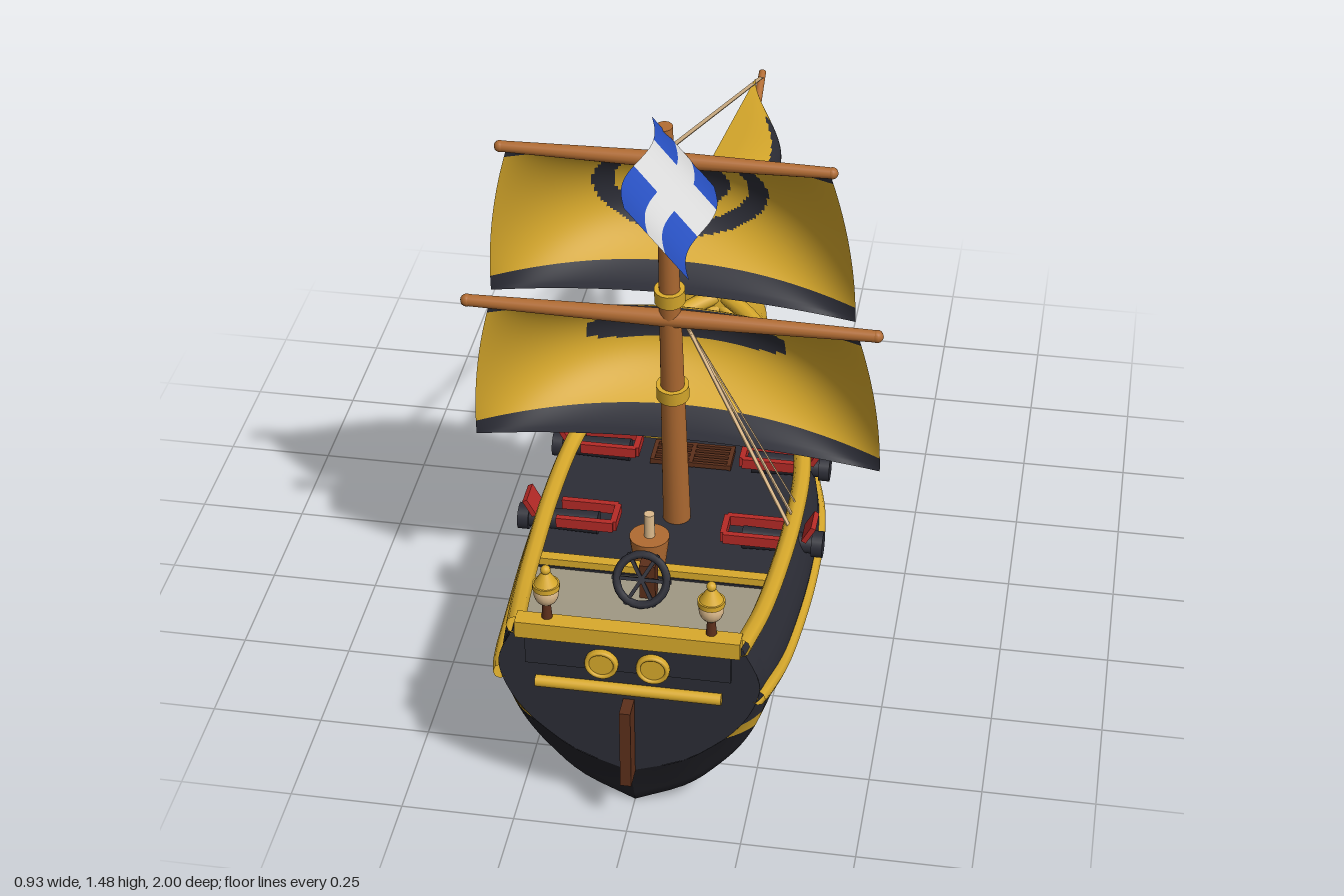
import * as THREE from 'three';

const material = (name, color) =>
  Object.assign(new THREE.MeshStandardMaterial({ color, side: THREE.DoubleSide }), { name });
const gold = material('gold', 0xd9aa2c), dark = material('charcoal', 0x2c2d36);
const black = material('blackHull', 0x222228), wood = material('wood', 0xb06b32);
const brown = material('darkWood', 0x5c2f1b), red = material('red', 0xb52a26);
const cream = material('cream', 0xdcba8c), grey = material('greyDeck', 0xa09884);
const blue = material('blue', 0x2850c0), white = material('white', 0xdcdcdc);

const V = (x, y, z) => new THREE.Vector3(x, y, z);
const lerp = THREE.MathUtils.lerp;
const spline = (xs, ys) => {
  const c = new THREE.CubicInterpolant(xs, ys, 1);
  return (x) => c.evaluate(THREE.MathUtils.clamp(x, xs[0], xs[xs.length - 1]))[0];
};

// Hull lines: s runs from the stern (0) to the stem (1)
const beam = spline([0, 0.12, 0.28, 0.44, 0.6, 0.68, 0.755, 0.834, 0.913, 0.96, 1],
  [0.28, 0.3, 0.315, 0.322, 0.315, 0.297, 0.265, 0.215, 0.145, 0.085, 0.01]);
const sheer = spline([0, 0.15, 0.4, 0.65, 0.8, 0.92, 1], [0.5, 0.465, 0.44, 0.44, 0.475, 0.525, 0.55]);
const wale = spline([0, 0.2, 0.6, 0.75, 0.88, 1], [0.37, 0.315, 0.305, 0.33, 0.405, 0.52]);
const stripe = spline([0, 0.2, 0.45, 0.67, 0.83, 0.95, 1], [0.25, 0.218, 0.212, 0.218, 0.265, 0.35, 0.39]);
const fullness = spline([0, 0.1, 0.25, 0.4, 0.6, 0.75, 1], [0, 0.36, 0.64, 0.83, 0.97, 1, 0.86]);
const keel = (s) => Math.max(0, 0.13 * (1 - s / 0.055));
const stemZ = (y) => -0.07 - 0.24 * Math.pow(Math.max(y, 0) / 0.55, 0.65);
const station = (u) => (u < 0.1 ? 0.55 * u : 0.055 + ((u - 0.1) / 0.9) * 0.945);
const sAt = (z, y) => (0.95 - z) / (0.95 - stemZ(y));
const hullPoint = (s, y) => {
  const t = (y - keel(s)) / (sheer(s) - keel(s));
  return V(beam(s) * fullness(t), y, lerp(0.95, stemZ(y), s));
};
const mastZ = (y) => 0.345 + (y - 0.45) * 0.118;

// Grid surface whose cells are sorted into groups by colour
function sheet(point, nu, nv, mats, pick = () => 0) {
  const pos = [], lists = mats.map(() => []);
  for (let j = 0; j <= nv; j++) for (let i = 0; i <= nu; i++) pos.push(...point(i / nu, j / nv).toArray());
  for (let j = 0; j < nv; j++) for (let i = 0; i < nu; i++) {
    const a = j * (nu + 1) + i, b = a + 1, c = a + nu + 1, d = c + 1;
    const u = (i + 0.5) / nu, v = (j + 0.5) / nv;
    lists[pick(point(u, v), u, v)].push(a, b, d, a, d, c);
  }
  const g = new THREE.BufferGeometry();
  g.setAttribute('position', new THREE.Float32BufferAttribute(pos, 3));
  g.setIndex(lists.flat());
  let start = 0;
  lists.forEach((l, k) => { g.addGroup(start, l.length, k); start += l.length; });
  g.computeVertexNormals();
  return g;
}

export function createModel() {
  const ship = new THREE.Group();
  ship.name = 'sailingShip';
  const add = (name, geo, mat, x = 0, y = 0, z = 0, rx = 0, ry = 0, rz = 0) => {
    const m = new THREE.Mesh(geo, mat);
    m.name = name;
    m.position.set(x, y, z);
    m.rotation.set(rx, ry, rz);
    ship.add(m);
    return m;
  };
  const box = (name, mat, w, h, d, ...at) => add(name, new THREE.BoxGeometry(w, h, d), mat, ...at);
  const cyl = (name, mat, r1, r2, h, ...at) => add(name, new THREE.CylinderGeometry(r1, r2, h, 24), mat, ...at);
  const tube = (name, mat, pts, r) =>
    add(name, new THREE.TubeGeometry(new THREE.CatmullRomCurve3(pts), 60, r, 8), mat);
  const span = (name, mat, p, q, make) => {
    const d = q.clone().sub(p), m = add(name, make(d.length()), mat);
    m.position.copy(p).lerp(q, 0.5);
    m.quaternion.setFromUnitVectors(V(0, 1, 0), d.normalize());
    return m;
  };
  const rod = (name, mat, p, q, r1, r2) =>
    span(name, mat, p, q, (l) => new THREE.CylinderGeometry(r2, r1, l, 16));

  // Hull planking, painted stripe, mouldings and rails
  for (const side of [-1, 1]) {
    const band = (name, mat, lo, hi, rows) => add(name, sheet((u, v) => {
      const s = station(u), p = hullPoint(s, lerp(lo(s), hi(s), v));
      p.x *= side;
      return p;
    }, 50, rows, [mat]), mat);
    const top = (s) => stripe(s) + 0.04;
    band('lowerHull', black, keel, stripe, 14);
    band('hullStripe', gold, stripe, top, 2);
    band('upperHull', dark, top, sheer, 8);
    const along = (f, dx = 0) => Array.from({ length: 26 }, (_, i) => {
      const p = hullPoint(i / 25, f(i / 25));
      p.x = (p.x + dx) * side;
      return p;
    });
    tube('wale', gold, along(wale), 0.016);
    tube('rail', gold, along(sheer), 0.02);
  }

  // Transom
  const half = Array.from({ length: 17 }, (_, i) => hullPoint(0, lerp(0.13, 0.5, i / 16)));
  const outline = [...half, ...half.slice(1).reverse().map((p) => V(-p.x, p.y, 0))];
  add('transom', new THREE.ShapeGeometry(new THREE.Shape(outline.map((p) => new THREE.Vector2(p.x, p.y)))), dark, 0, 0, 0.95);
  box('transomRail', gold, 0.48, 0.04, 0.04, 0, 0.5, 0.945);
  box('transomPanel', dark, 0.44, 0.07, 0.012, 0, 0.445, 0.953);
  cyl('transomMoulding', gold, 0.013, 0.013, 0.4, 0, 0.36, 0.955, 0, 0, Math.PI / 2);
  box('rudder', brown, 0.024, 0.2, 0.05, 0, 0.23, 0.975);
  for (const side of [-1, 1]) {
    cyl('sternWindow', gold, 0.036, 0.036, 0.012, side * 0.055, 0.43, 0.961, Math.PI / 2);
    add('windowRim', new THREE.TorusGeometry(0.031, 0.005, 8, 24), gold, side * 0.055, 0.43, 0.967);
    // Stern lanterns
    const x = side * 0.175, z = 0.935;
    cyl('lanternPost', brown, 0.008, 0.012, 0.05, x, 0.54, z);
    add('lanternGlass', new THREE.SphereGeometry(0.027, 16, 12), cream, x, 0.585, z).scale.y = 1.15;
    cyl('lanternRing', gold, 0.029, 0.029, 0.012, x, 0.603, z);
    cyl('lanternCap', gold, 0.008, 0.026, 0.03, x, 0.623, z);
    add('lanternFinial', new THREE.SphereGeometry(0.011, 10, 8), gold, x, 0.643, z);
  }

  // Decks and cross beams
  const deck = (name, mat, y, z0, z1) => add(name, sheet((u, v) => {
    const p = hullPoint(sAt(lerp(z0, z1, v), y), y);
    p.x *= (2 * u - 1) * 0.98;
    return p;
  }, 2, 16, [mat]), mat);
  deck('mainDeck', dark, 0.36, 0.64, -0.1);
  deck('quarterDeck', grey, 0.42, 0.94, 0.64);
  deck('foreDeck', grey, 0.43, -0.09, -0.27);
  box('quarterBulkhead', dark, 0.54, 0.08, 0.01, 0, 0.385, 0.64);
  box('foreBulkhead', dark, 0.36, 0.08, 0.01, 0, 0.395, -0.09);
  box('quarterBeam', gold, 0.54, 0.025, 0.025, 0, 0.43, 0.63);
  box('foreBeam', gold, 0.38, 0.025, 0.025, 0, 0.435, -0.085);

  // Deck fittings
  box('crate', gold, 0.1, 0.09, 0.1, -0.125, 0.405, -0.01);
  cyl('barrel', wood, 0.05, 0.045, 0.1, 0.13, 0.41, -0.01);
  cyl('tub', wood, 0.045, 0.035, 0.08, -0.03, 0.4, 0.52);
  cyl('tubPost', cream, 0.012, 0.012, 0.08, -0.03, 0.46, 0.52);
  for (let i = 0; i < 5; i++) box('grateBar', brown, 0.18, 0.012, 0.008, 0, 0.37, 0.07 + i * 0.018);
  for (const x of [-0.09, 0, 0.09]) box('grateEdge', brown, 0.01, 0.014, 0.08, x, 0.37, 0.106);
  box('wheelPost', brown, 0.035, 0.09, 0.035, 0, 0.462, 0.7);
  add('steeringWheel', new THREE.TorusGeometry(0.055, 0.009, 8, 24), dark, -0.01, 0.48, 0.73, -0.5);
  for (let i = 0; i < 3; i++) box('wheelSpoke', dark, 0.13, 0.008, 0.008, -0.01, 0.48, 0.73, -0.5, 0, (i * Math.PI) / 3);

  // Guns with carriages and port lids
  for (const side of [-1, 1]) for (const z of [0.13, 0.42]) {
    const x = hullPoint(sAt(z, 0.38), 0.38).x, turn = -side * Math.PI / 2;
    cyl('gunBarrel', dark, 0.022, 0.026, 0.18, side * (x - 0.05), 0.385, z, 0, 0, turn);
    cyl('gunMuzzle', dark, 0.03, 0.03, 0.025, side * (x + 0.03), 0.385, z, 0, 0, turn);
    for (const dz of [-0.035, 0.035]) box('carriageSide', red, 0.13, 0.025, 0.014, side * 0.19, 0.405, z + dz);
    box('carriageEnd', red, 0.014, 0.025, 0.07, side * 0.125, 0.405, z);
    box('portLid', red, 0.012, 0.045, 0.064, side * (x + 0.012), 0.43, z, 0, 0, -side * 0.5);
  }

  // Stem, bow disc and bowsprit
  tube('stem', gold, [0.02, 0.1, 0.2, 0.3, 0.4, 0.5].map((y) => V(0, y, stemZ(y) - 0.004)), 0.016);
  const disc = [[0, 0.035], [0.09, 0.03], [0.106, 0.022], [0.11, 0.01], [0.11, -0.035], [0, -0.035]];
  add('bowDisc', new THREE.LatheGeometry(disc.map((p) => new THREE.Vector2(...p)), 32), gold, 0, 0.48, -0.325, -Math.PI / 2);
  const sprit = (z) => V(0, lerp(0.52, 0.795, (-0.3 - z) / 0.697), z);
  rod('bowsprit', wood, sprit(-0.3), sprit(-0.997), 0.025, 0.009);
  rod('bowspritRing', gold, sprit(-0.755), sprit(-0.785), 0.021, 0.021);

  // Mast, collars and yards
  const onMast = (y) => V(0, y, mastZ(y));
  rod('mast', wood, onMast(0.36), onMast(1.455), 0.032, 0.018);
  for (const [y, r] of [[0.74, 0.037], [1.01, 0.034]]) rod('mastCollar', gold, onMast(y - 0.017), onMast(y + 0.017), r, r);
  for (const [y, w, r] of [[0.948, 0.45, 0.018], [1.373, 0.35, 0.016]]) {
    const z = mastZ(y) + 0.005;
    for (const side of [-1, 1]) {
      rod('yard', wood, V(0, y, z), V(side * w, y, z), r * 1.15, r * 0.75);
      add('yardTip', new THREE.SphereGeometry(r * 0.8, 10, 8), wood, side * w, y, z);
    }
  }

  // Square sails billowing toward the bow
  const sail = (name, yB, yT, wB, wT, belly, arch, mark) => {
    const mats = [gold, dark];
    add(name, sheet((u, v) => {
      const a = 2 * u - 1, bow = 1 - a * a;
      const y = lerp(yB, yT, v) + arch * bow * (1 - v);
      return V(a * lerp(wB, wT, v * v), y,
        mastZ(y) - 0.02 - belly * bow * Math.pow(Math.sin(Math.PI * Math.min(v, 0.9999)), 0.7));
    }, 110, 72, mats, (p, u, v) => (v < 0.1 || v > 0.915 || mark(p) ? 1 : 0)), mats);
  };
  sail('mainSail', 0.54, 0.932, 0.46, 0.405, 0.21, 0.04,
    (p) => Math.abs(p.x) < 0.225 && Math.abs(p.y - 0.762) < (Math.abs(p.x) > 0.205 ? 0.022 : 0.031));
  const inside = (p, rx, ry) => (p.x / rx) ** 2 + ((p.y - 1.195) / ry) ** 2 < 1;
  sail('topSail', 0.965, 1.362, 0.4, 0.34, 0.185, 0.035, (p) =>
    (inside(p, 0.192, 0.122) && !inside(p, 0.147, 0.094)) || (inside(p, 0.103, 0.073) && !inside(p, 0.027, 0.022)));

  // Triangular headsail
  const tack = V(0, 0.845, -0.87), head = V(0, 1.12, 0.25), clew = V(0.06, 0.775, -0.335);
  const jibMats = [gold, dark];
  add('headSail', sheet((a, b) => {
    const p = tack.clone().lerp(head, a).lerp(clew, b);
    p.x += 0.12 * Math.sin(Math.PI * a) * Math.sin(Math.PI * Math.sqrt(b));
    p.y += 0.025 * Math.sin(Math.PI * b) * b * (1 - a) ** 4;
    return p;
  }, 110, 70, jibMats, (p) => {
    const k = (p.z + 0.58) / 0.46, d = 0.845 + (p.z + 0.87) * 0.2455 - p.y;
    return k > 0 && k < 1 && d > lerp(0.013, 0.036, k) && d < Math.min(0.06, 0.02 + k * 0.16, 0.04 + (1 - k) * 0.12) ? 1 : 0;
  }), jibMats);

  // Flat ropes: stays to the bowsprit and shrouds to the rail
  const ribbon = (name, p, q, w, d) => span(name, cream, p, q, (l) => new THREE.BoxGeometry(w, l, d));
  ribbon('topStay', onMast(1.39), sprit(-0.98), 0.012, 0.002);
  ribbon('lowerStay', onMast(0.96), sprit(-0.77), 0.012, 0.002);
  for (const z of [0.36, 0.41, 0.455]) ribbon('shroud', V(0.025, 0.96, 0.41), V(0.275, 0.45, z), 0.003, 0.01);

  // Waving flag with a cross
  const flagMats = [blue, white];
  add('flag', sheet((u, v) =>
    V(-0.025 + 0.13 * (1 - v) + 0.018 * Math.sin(u * 6.3), 1.325 + 0.155 * v - 0.03 * u, 0.47 + 0.32 * u),
  40, 30, flagMats, (p, u, v) => (Math.abs(u - 0.4) < 0.14 || Math.abs(v - 0.5) < 0.15 ? 1 : 0)), flagMats);

  return ship;
}
